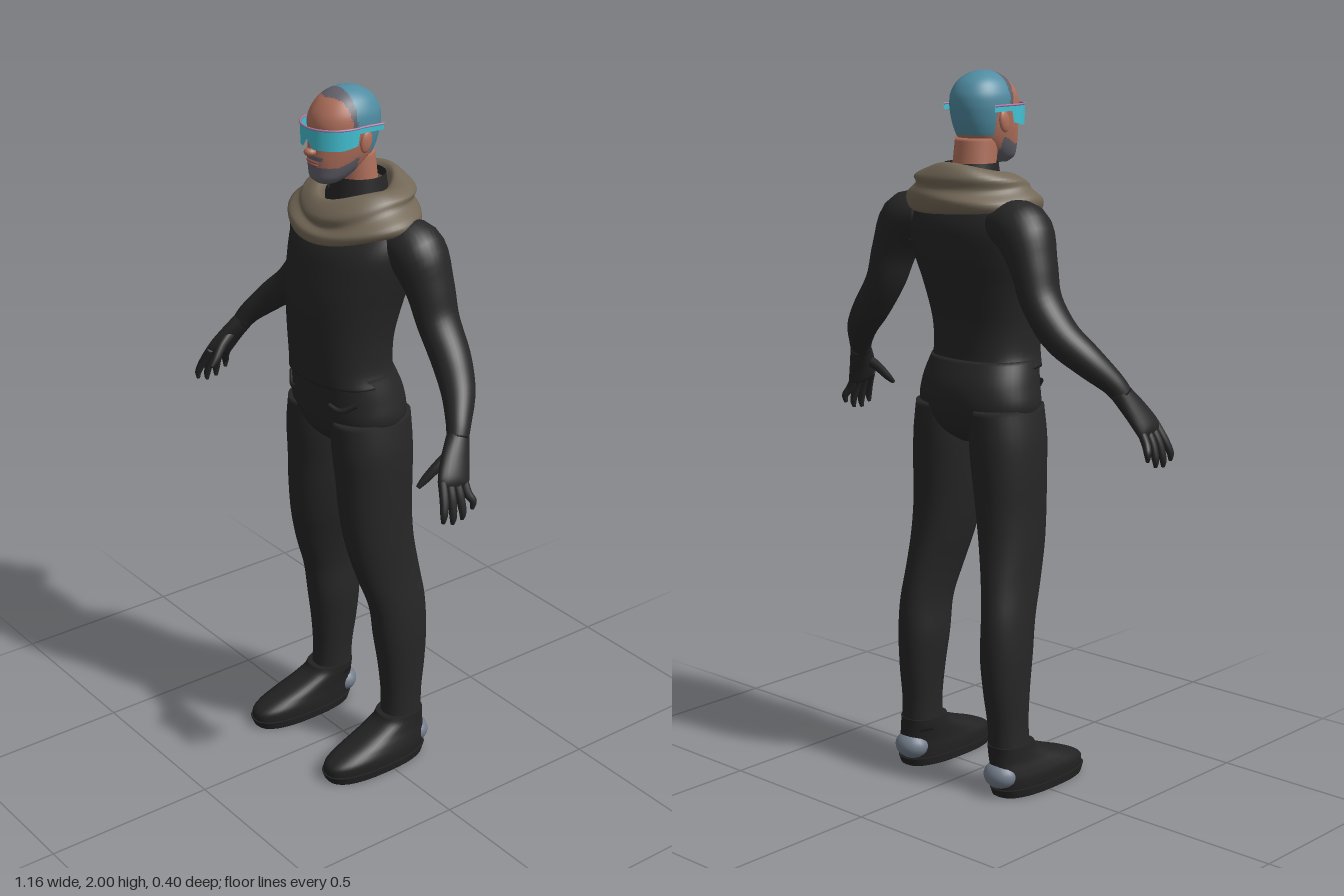
import * as THREE from 'three';
import { mergeVertices } from 'three/addons/utils/BufferGeometryUtils.js';

const mat = (name, color, side = THREE.FrontSide) => {
  const m = new THREE.MeshStandardMaterial({ color, side });
  m.name = name;
  return m;
};

// Smoothly resample a list of number rows.
function resample(rows, n) {
  const at = i => rows[Math.max(0, Math.min(rows.length - 1, i))];
  const out = [];
  for (let k = 0; k <= n; k++) {
    const t = (k / n) * (rows.length - 1), i = Math.min(Math.floor(t), rows.length - 2), f = t - i;
    out.push(rows[0].map((_, j) => {
      const [a, b, c, d] = [at(i - 1)[j], at(i)[j], at(i + 1)[j], at(i + 2)[j]];
      return b + 0.5 * f * (c - a + f * (2 * a - 5 * b + 4 * c - d + f * (3 * (b - c) + d - a)));
    }));
  }
  return out;
}

// Surface from a grid of points; fn(i, j) returns [x, y, z].
function grid(nu, nv, fn) {
  const pos = [], idx = [];
  for (let j = 0; j <= nv; j++) for (let i = 0; i <= nu; i++) pos.push(...fn(i, j));
  for (let j = 0; j < nv; j++) for (let i = 0; i < nu; i++) {
    const a = j * (nu + 1) + i, b = a + nu + 1;
    idx.push(a, a + 1, b + 1, a, b + 1, b);
  }
  let g = new THREE.BufferGeometry();
  g.setAttribute('position', new THREE.Float32BufferAttribute(pos, 3));
  g.setIndex(idx);
  g = mergeVertices(g, 1e-5);
  g.computeVertexNormals();
  return g;
}

// Capped loft through sections [x, y, z, rx, rz]; flat keeps every ring horizontal.
function loft(sections, { flat = true, n = 32, steps = sections.length * 4, pow = 2 } = {}) {
  const rows = resample(sections, steps);
  const P = r => new THREE.Vector3(r[0], r[1], r[2]);
  const frames = rows.map((r, k) => {
    const T = flat ? new THREE.Vector3(0, 1, 0)
      : P(rows[Math.min(k + 1, steps)]).sub(P(rows[Math.max(k - 1, 0)])).normalize();
    const B = new THREE.Vector3(0, 0, 1).addScaledVector(T, -T.z).normalize();
    return { c: P(r), A: T.clone().cross(B), B, ra: r[3], rb: r[4] };
  });
  const ends = [frames[0], frames[steps]].map(f => ({ ...f, ra: 0, rb: 0 }));
  const all = [ends[0], ...frames, ends[1]];
  const e = v => Math.sign(v) * Math.abs(v) ** (2 / pow);
  return grid(n, all.length - 1, (i, j) => {
    const a = ((i % n) / n) * Math.PI * 2, f = all[j];
    return f.c.clone().addScaledVector(f.A, f.ra * e(Math.sin(a))).addScaledVector(f.B, f.rb * e(Math.cos(a))).toArray();
  });
}

// Section given by height, front z, back z and half width.
const sec = (y, front, back, rx, x = 0) => [x, y, (front + back) / 2, rx, (front - back) / 2];

// Sort triangles into material groups by their centre.
function paint(g, count, pick) {
  const p = g.attributes.position, src = g.index.array, lists = Array.from({ length: count }, () => []);
  for (let i = 0; i < src.length; i += 3) {
    const t = [src[i], src[i + 1], src[i + 2]];
    const mean = k => (p.getComponent(t[0], k) + p.getComponent(t[1], k) + p.getComponent(t[2], k)) / 3;
    lists[pick(mean(0), mean(1), mean(2))].push(...t);
  }
  g.setIndex(lists.flat());
  let start = 0;
  lists.forEach((l, k) => { g.addGroup(start, l.length, k); start += l.length; });
  return g;
}

export function createModel() {
  const cloth = mat('black cloth', 0x262626, THREE.DoubleSide), boot = mat('boot black', 0x222222);
  const skin = mat('skin', 0xb0705c), hair = mat('blue hair', 0x4f8ca2), stubble = mat('stubble', 0x62606a);
  const lip = mat('lips', 0x85504a), lens = mat('cyan lens', 0x42c0d2, THREE.DoubleSide);
  const frame = mat('pink frame', 0xb07aa6), wrap = mat('taupe scarf', 0x736857, THREE.DoubleSide);
  const pad = mat('grey heel', 0x747e8c);

  const model = new THREE.Group();
  model.name = 'figure';
  const add = (name, geo, m) => {
    const mesh = new THREE.Mesh(geo, m);
    mesh.name = name;
    model.add(mesh);
    return mesh;
  };
  const ball = (name, m, p, s) => {
    const b = add(name, new THREE.SphereGeometry(1, 20, 14), m);
    b.position.set(...p);
    b.scale.set(...s);
    return b;
  };

  // Body
  add('shirt', loft([
    sec(1.195, 0.128, -0.118, 0.168), sec(1.24, 0.135, -0.115, 0.155), sec(1.32, 0.14, -0.12, 0.158),
    sec(1.42, 0.138, -0.145, 0.175), sec(1.5, 0.122, -0.165, 0.195), sec(1.58, 0.095, -0.172, 0.208),
    sec(1.64, 0.045, -0.155, 0.19), sec(1.69, 0.025, -0.135, 0.125), sec(1.71, 0.02, -0.13, 0.09),
  ], { n: 48, pow: 2.3 }), cloth);
  add('collar', new THREE.CylinderGeometry(0.073, 0.085, 0.09, 32, 1, true).translate(0, 1.71, -0.052), cloth);
  add('hips', loft([
    sec(0.985, 0.03, -0.08, 0.05), sec(1.02, 0.08, -0.125, 0.13), sec(1.08, 0.108, -0.148, 0.186),
    sec(1.15, 0.115, -0.146, 0.18), sec(1.22, 0.12, -0.118, 0.162),
  ], { n: 48, pow: 2.2 }), cloth);

  for (const s of [1, -1]) {
    const side = s > 0 ? 'left' : 'right';
    const limb = (rows, opt) => loft(rows.map(([x, ...r]) => [x * s, ...r]), opt);

    // Leg, pocket and boot
    add(side + 'Leg', limb([
      sec(1.09, 0.1, -0.14, 0.085, 0.1), sec(1, 0.1, -0.14, 0.094, 0.106), sec(0.9, 0.092, -0.136, 0.091, 0.113),
      sec(0.8, 0.088, -0.132, 0.084, 0.12), sec(0.7, 0.075, -0.136, 0.075, 0.131), sec(0.6, 0.05, -0.15, 0.063, 0.145),
      sec(0.5, 0.016, -0.164, 0.059, 0.157), sec(0.4, 0, -0.167, 0.062, 0.159), sec(0.3, -0.015, -0.16, 0.057, 0.163),
      sec(0.2, -0.024, -0.147, 0.052, 0.167), sec(0.11, -0.02, -0.145, 0.053, 0.17),
    ].reverse(), { pow: 2.15 }), cloth);
    const pocketPath = [[0.075, 1.14, 0.104], [0.11, 1.13, 0.093], [0.15, 1.155, 0.066]];
    add(side + 'PocketFold', new THREE.TubeGeometry(new THREE.CatmullRomCurve3(
      pocketPath.map(([x, y, z]) => new THREE.Vector3(x * s, y, z))), 12, 0.008, 8), cloth);
    add(side + 'Boot', limb([
      sec(0.022, 0.196, -0.145, 0.066, 0.18), sec(0.05, 0.19, -0.15, 0.067, 0.18), sec(0.075, 0.14, -0.15, 0.063, 0.178),
      sec(0.1, 0.07, -0.148, 0.059, 0.174), sec(0.125, 0.01, -0.146, 0.057, 0.171), sec(0.145, -0.008, -0.146, 0.056, 0.17),
    ], { pow: 2.4 }), boot);
    add(side + 'Sole', limb([
      sec(0, 0.19, -0.14, 0.068, 0.18), sec(0.024, 0.2, -0.15, 0.071, 0.18),
    ], { pow: 2.5 }), boot);
    ball(side + 'HeelPad', pad, [0.174 * s, 0.06, -0.123], [0.052, 0.04, 0.044]);

    // Arm
    add(side + 'Arm', limb([
      [0.14, 1.6, -0.07, 0.06, 0.075], [0.212, 1.585, -0.08, 0.078, 0.082], [0.258, 1.5, -0.09, 0.06, 0.07],
      [0.29, 1.41, -0.095, 0.051, 0.062], [0.352, 1.325, -0.09, 0.05, 0.056], [0.42, 1.262, -0.06, 0.043, 0.047],
      [0.472, 1.205, -0.02, 0.032, 0.035], [0.493, 1.17, 0, 0.027, 0.03],
    ], { flat: false }), cloth);

    // Gloved hand
    add(side + 'Palm', limb([
      [0.485, 1.185, -0.01, 0.027, 0.03], [0.515, 1.13, 0.024, 0.023, 0.042],
      [0.538, 1.085, 0.048, 0.02, 0.048], [0.545, 1.068, 0.054, 0.014, 0.042],
    ], { flat: false, n: 20 }), cloth);
    const tips = [[0.011, 1], [0.045, 0.98], [0.077, 0.976], [0.108, 0.988]];
    tips.forEach(([z, y], i) => add(side + 'Finger' + (i + 1), limb([
      [0.535, 1.09, 0.018 + i * 0.022, 0.012, 0.012], [0.559, 1.045, 0.018 + i * 0.026, 0.012, 0.012],
      [0.572, y + 0.022, z - 0.002, 0.01, 0.01], [0.571, y, z, 0.005, 0.005],
    ], { flat: false, n: 12 }), cloth));
    add(side + 'Thumb', limb([
      [0.505, 1.14, 0.03, 0.017, 0.017], [0.496, 1.11, 0.07, 0.014, 0.014],
      [0.485, 1.078, 0.1, 0.011, 0.011], [0.48, 1.058, 0.12, 0.006, 0.006],
    ], { flat: false, n: 12 }), cloth);

    // Ear
    ball(side + 'Ear', skin, [0.083 * s, 1.865, -0.012], [0.009, 0.03, 0.018]).rotation.x = -0.2;
  }

  // Neck and head; hair and stubble are faces of the head
  add('neck', loft([
    sec(1.66, 0.01, -0.11, 0.068), sec(1.74, 0.015, -0.1, 0.062), sec(1.82, 0.03, -0.09, 0.06),
  ]), skin);
  const head = loft([
    sec(1.75, 0.082, 0.02, 0.026), sec(1.765, 0.099, -0.005, 0.046), sec(1.79, 0.102, -0.045, 0.06),
    sec(1.82, 0.103, -0.078, 0.07), sec(1.85, 0.099, -0.092, 0.077), sec(1.88, 0.096, -0.1, 0.081),
    sec(1.91, 0.1, -0.104, 0.083), sec(1.94, 0.091, -0.1, 0.079), sec(1.97, 0.068, -0.082, 0.063),
    sec(1.99, 0.038, -0.052, 0.038), sec(1.999, 0.008, -0.022, 0.011),
  ], { n: 72, steps: 72, pow: 2.15 });
  add('head', paint(head, 3, (x, y, z) => {
    const ax = Math.abs(x);
    if ((y > 1.895 && z < 0.06 - ax * 0.4) || (y > 1.828 && z < -0.035)) return z < 0.014 ? 1 : 2;
    const beard = y < 1.8 + Math.max(0, 0.06 - z) * 0.4 && z > 0;
    const moustache = ax < 0.034 && y > 1.818 && y < 1.828 && z > 0;
    return beard || moustache ? 2 : 0;
  }), [skin, hair, stubble]);
  ball('noseBridge', skin, [0, 1.862, 0.1], [0.011, 0.032, 0.014]);
  ball('noseTip', skin, [0, 1.84, 0.108], [0.017, 0.012, 0.017]);
  ball('upperLip', lip, [0, 1.813, 0.101], [0.026, 0.004, 0.007]);
  ball('lowerLip', lip, [0, 1.805, 0.1], [0.022, 0.005, 0.008]);

  // Visor: a band bent round the face, with thin temple straps
  const bend = new THREE.CatmullRomCurve3([
    [-0.094, -0.062], [-0.089, -0.01], [-0.089, 0.035], [-0.075, 0.078], [-0.042, 0.108], [0, 0.118],
    [0.042, 0.108], [0.075, 0.078], [0.089, 0.035], [0.089, -0.01], [0.094, -0.062],
  ].map(([x, z]) => new THREE.Vector3(x, 1.908, z)));
  const band = bend.getSpacedPoints(80);
  add('visor', grid(80, 4, (i, j) => {
    const { x, z } = band[i], strap = z < 0.018;
    const notch = 0.025 * Math.max(0, 1 - Math.abs(x) / 0.02);
    const low = strap ? 1.892 : 1.853 + notch + 0.01 * Math.max(0, (0.06 - z) / 0.05);
    return [x, low + (1.908 - low) * j / 4, z];
  }), lens);
  add('visorFrame', new THREE.TubeGeometry(bend, 80, 0.003, 6), frame);

  // Scarf rows, bottom to top: front z, back z, half width, then y at front, side and back
  const folds = resample([
    [0.085, -0.155, 0.17, 1.605, 1.625, 1.62], [0.118, -0.185, 0.2, 1.59, 1.64, 1.622],
    [0.126, -0.196, 0.205, 1.62, 1.667, 1.66], [0.106, -0.182, 0.17, 1.645, 1.69, 1.695],
    [0.108, -0.192, 0.16, 1.67, 1.712, 1.728], [0.083, -0.17, 0.122, 1.697, 1.735, 1.755],
    [0.062, -0.14, 0.092, 1.697, 1.73, 1.75], [0.05, -0.12, 0.078, 1.66, 1.69, 1.7],
  ], 35);
  add('scarf', grid(64, 35, (i, j) => {
    const a = ((i % 64) / 64) * Math.PI * 2, c = Math.cos(a), [f, b, rx, yF, yS, yB] = folds[j];
    const r = 1 + 0.02 * Math.sin(3 * a + j * 0.35);
    const y = yS + ((c > 0 ? yF : yB) - yS) * c * c + 0.006 * Math.sin(2 * a + j * 0.25);
    return [0.007 + rx * r * Math.sin(a), y, (f + b) / 2 + (f - b) / 2 * r * c];
  }), wrap);

  return model;
}
